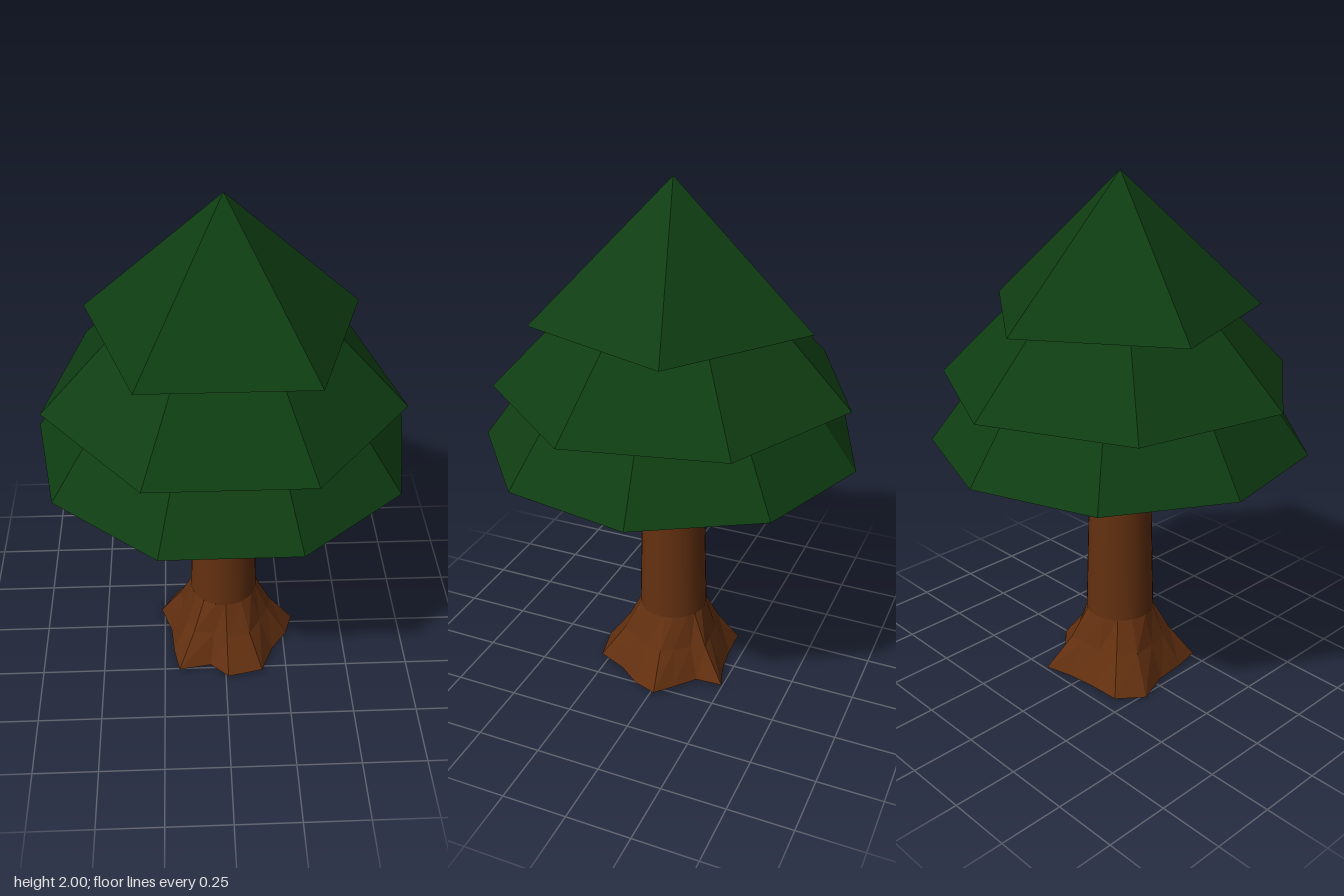
import * as THREE from 'three';

const AXIS_Z = 0.02; // the tree's axis sits slightly forward

// Outline of the root tips, around the axis, as [x, z]
const ROOTS = [
  [0.146, -0.27], [0.152, -0.164], [0.23, -0.098], [0.295, -0.038],
  [0.263, 0.057], [0.2, 0.142], [0.15, 0.26], [0.01, 0.29],
  [-0.06, 0.225], [-0.19, 0.24], [-0.212, 0.134], [-0.222, 0.016],
  [-0.265, -0.115], [-0.195, -0.216], [-0.072, -0.221], [0.043, -0.236],
];

// Flared root base: root outline blended up into the round trunk
function rootGeometry(trunkRadius) {
  const ring = (blend, height) => ROOTS.map(([x, z], i) => {
    const r = Math.hypot(x, z);
    const k = THREE.MathUtils.lerp(trunkRadius / r, 1, blend);
    return [x * k, height(i), z * k];
  });
  const rings = [
    ring(1, (i) => (i === 12 ? 0 : i > 8 ? 0.006 : 0.012)),
    ring(0.4, () => 0.14),
    ring(0, () => 0.265),
  ];
  const pos = [];
  const n = ROOTS.length;
  for (let i = 0; i < n; i++) {
    const j = (i + 1) % n;
    for (let k = 0; k < 2; k++) {
      const a = rings[k][i], b = rings[k][j], c = rings[k + 1][j], d = rings[k + 1][i];
      pos.push(...a, ...d, ...b, ...b, ...d, ...c);
    }
    pos.push(0, 0.012, 0, ...rings[0][i], ...rings[0][j]); // underside
  }
  const geo = new THREE.BufferGeometry();
  geo.setAttribute('position', new THREE.Float32BufferAttribute(pos, 3));
  geo.computeVertexNormals();
  return geo;
}

export function createModel() {
  const tree = new THREE.Group();
  tree.name = 'pineTree';

  const leafGreen = new THREE.MeshStandardMaterial({ color: 0x0f3d12 });
  leafGreen.name = 'leafGreen';
  leafGreen.flatShading = true;
  const barkBrown = new THREE.MeshStandardMaterial({ color: 0x633010 });
  barkBrown.name = 'barkBrown';

  const add = (name, geo, mat, y, z = AXIS_Z) => {
    const mesh = new THREE.Mesh(geo, mat);
    mesh.name = name;
    mesh.position.set(0, y, z);
    tree.add(mesh);
  };

  // Trunk and roots
  add('trunk', new THREE.CylinderGeometry(0.115, 0.135, 0.728, 32), barkBrown, 0.629);
  add('roots', rootGeometry(0.135), barkBrown, 0);

  // Foliage tiers: name, sides, radius, base height, tip height, z
  const tiers = [
    ['lowerFoliage', 9, 0.712, 1.006, 1.96, 0.02],
    ['middleFoliage', 7, 0.672, 1.235, 1.92, 0.012],
    ['topFoliage', 5, 0.527, 1.5, 2, 0.018],
  ];
  for (const [name, sides, radius, base, tip, z] of tiers) {
    // One corner of each tier points straight back
    const geo = new THREE.ConeGeometry(radius, tip - base, sides, 1, false, Math.PI);
    add(name, geo, leafGreen, (base + tip) / 2, z);
  }

  return tree;
}
